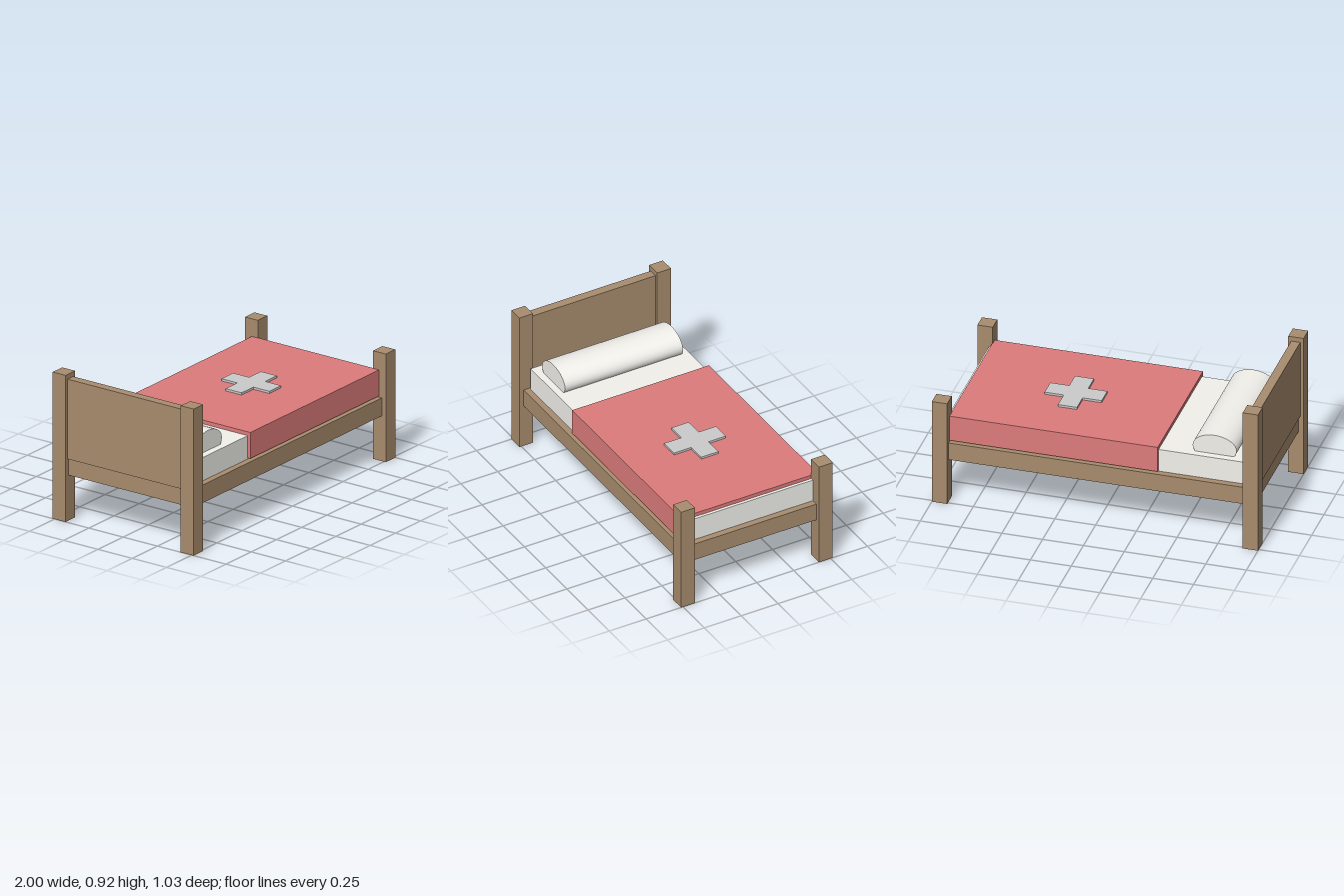
import * as THREE from 'three';

const paint = (color) => new THREE.MeshStandardMaterial({ color });

export function createModel() {
  const bed = new THREE.Group();
  bed.name = 'bed';
  const wood = paint(0xa88c6e), linen = paint(0xf2f1ec), red = paint(0xdd7b7b), grey = paint(0xcccccc);

  const add = (name, geometry, material) => {
    const mesh = new THREE.Mesh(geometry, material);
    mesh.name = name;
    bed.add(mesh);
    return mesh;
  };

  // Box given by its extents in x and y, and its half depth about z
  const box = (name, material, x0, x1, y0, y1, halfZ, z = 0) =>
    add(name, new THREE.BoxGeometry(x1 - x0, y1 - y0, halfZ * 2), material)
      .position.set((x0 + x1) / 2, (y0 + y1) / 2, z);

  // Corner posts: tall at the head, short at the foot
  for (const side of [-1, 1]) {
    box('headPost', wood, -1, -0.906, 0, 0.922, 0.047, side * 0.467);
    box('footPost', wood, 0.906, 1, 0, 0.68, 0.047, side * 0.467);
  }

  // Frame and headboard
  box('frame', wood, -0.97, 0.97, 0.285, 0.398, 0.485);
  box('headboard', wood, -0.98, -0.924, 0.39, 0.892, 0.43);

  // Bedding
  box('mattress', linen, -0.892, 0.929, 0.396, 0.545, 0.445);
  box('blanket', red, -0.37, 0.91, 0.405, 0.569, 0.464);

  // Pillow: an oval roll lying across the bed, sunk into the mattress
  const roll = new THREE.CylinderGeometry(1, 1, 0.8, 32);
  roll.rotateX(Math.PI / 2).scale(0.135, 0.086, 1);
  add('pillow', roll, linen).position.set(-0.7, 0.585, 0);

  // Raised cross on the blanket
  const a = 0.175, b = 0.058;
  const cross = new THREE.Shape([
    [b, b], [b, a], [-b, a], [-b, b], [-a, b], [-a, -b],
    [-b, -b], [-b, -a], [b, -a], [b, -b], [a, -b], [a, b],
  ].map(([x, y]) => new THREE.Vector2(x, y)));
  const patch = new THREE.ExtrudeGeometry(cross, { depth: 0.019, bevelEnabled: false });
  patch.rotateX(-Math.PI / 2);
  add('crossPatch', patch, grey).position.set(0.27, 0.564, 0);

  return bed;
}
